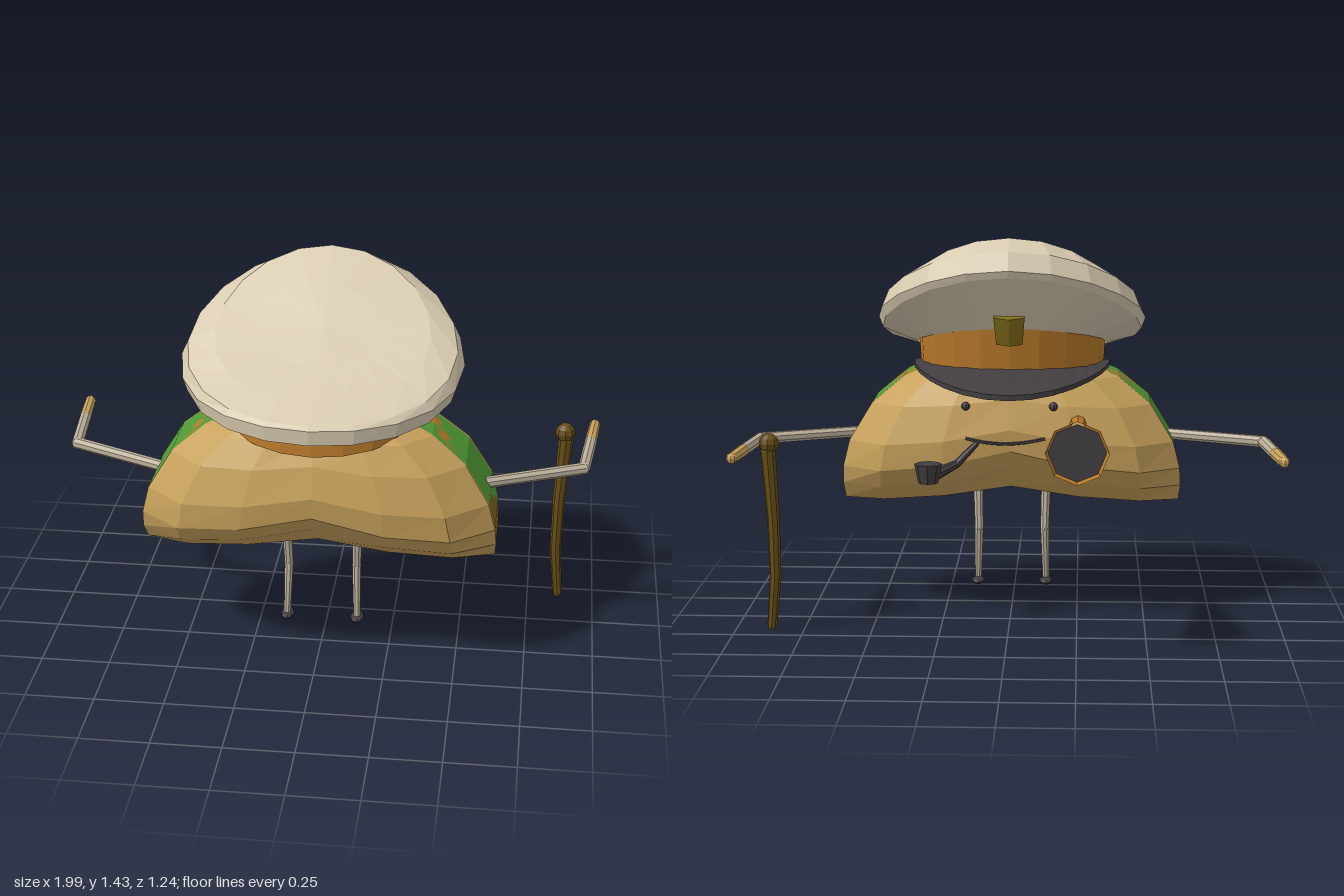
import * as THREE from 'three';

const mat = (name, color) => Object.assign(new THREE.MeshStandardMaterial({ color, flatShading: true, side: THREE.DoubleSide }), { name });
const V = (x, y, z) => new THREE.Vector3(x, y, z);

export function createModel() {
  const M = {
    tan: mat('tan skin', 0xc8a25c), cream: mat('cream cloth', 0xd8cbb0), orange: mat('orange brown', 0xb8782a),
    green: mat('green patch', 0x509a36), brown: mat('brown patch', 0x80621f), dark: mat('dark grey', 0x413d40),
    limb: mat('pale limb', 0xbcb09a), gold: mat('old gold', 0x84701a), wood: mat('dark wood', 0x664e16),
  };
  const model = new THREE.Group();
  const add = (name, geo, m, parent = model) => {
    const mesh = new THREE.Mesh(geo, m);
    mesh.name = name;
    parent.add(mesh);
    return mesh;
  };
  const group = (name) => {
    const g = new THREE.Group();
    g.name = name;
    model.add(g);
    return g;
  };
  const toGeometry = (pts) => {
    const g = new THREE.BufferGeometry().setFromPoints(pts);
    g.computeVertexNormals();
    return g;
  };
  const quad = (out, a, b, c, d) => out.push(a, b, c, a, c, d);

  // Skin between rows of points, with an optional fan to a top point
  const loft = (rows, wrap = true, top = null, skip = () => false) => {
    const out = [], n = rows[0].length;
    for (let i = 0; i < rows.length - 1; i++)
      for (let j = 0; j < (wrap ? n : n - 1); j++) {
        const k = (j + 1) % n;
        if (!skip(j)) quad(out, rows[i][j], rows[i][k], rows[i + 1][k], rows[i + 1][j]);
      }
    if (top) {
      const r = rows[rows.length - 1];
      r.forEach((p, j) => out.push(p, r[(j + 1) % n], top));
    }
    return toGeometry(out);
  };

  // Tapered rod through points, with rounded joints
  const rod = (name, pts, radii, m, parent) => {
    for (let i = 0; i < pts.length - 1; i++) {
      const d = pts[i + 1].clone().sub(pts[i]);
      const c = add(name, new THREE.CylinderGeometry(radii[i + 1], radii[i], d.length(), 8), m, parent);
      c.position.copy(pts[i]).addScaledVector(d, 0.5);
      c.quaternion.setFromUnitVectors(V(0, 1, 0), d.normalize());
    }
    pts.forEach((p, i) => add(name + 'Joint', new THREE.SphereGeometry(radii[i], 8, 6), m, parent).position.copy(p));
  };

  // Bean body: stacked rings, lifted in the middle to make the saddle
  const body = group('body');
  const half = [[0, 1], [0.4, 1], [0.76, 0.87], [1, 0.45], [1, -0.45], [0.76, -0.87], [0.4, -1], [0, -1]];
  const outline = [...half, ...half.slice(1, 7).reverse().map(([x, z]) => [-x, z])];
  const bodyRings = [ // y, half width, half depth, lift
    [0.415, 0.615, 0.002, 0.06], [0.425, 0.63, 0.13, 0.06], [0.49, 0.635, 0.24, 0.09], [0.56, 0.63, 0.3, 0.09],
    [0.66, 0.605, 0.31, 0.07], [0.8, 0.52, 0.28, 0.04], [0.9, 0.4, 0.235, 0.02], [0.98, 0.22, 0.15, 0],
  ].map(([y, rx, rz, lift]) => outline.map(([x, z]) => V(x * rx, y + lift * (1 - Math.abs(x)) ** 2, 0.235 + z * rz)));
  const isEnd = (j) => j === 3 || j === 10;
  add('bodySkin', loft(bodyRings, true, V(0, 1, 0.235), isEnd), M.tan, body);

  // End faces, divided finely and coloured in blotches
  const faces = { tan: [], green: [], brown: [], orange: [] };
  const cols = 20, rowsPer = 10;
  for (const j of [3, 10])
    for (let i = 0; i < bodyRings.length - 1; i++) {
      const at = (s, t) => bodyRings[i][j].clone().lerp(bodyRings[i][j + 1], s)
        .lerp(bodyRings[i + 1][j].clone().lerp(bodyRings[i + 1][j + 1], s), t);
      for (let a = 0; a < cols; a++)
        for (let b = 0; b < rowsPer; b++) {
          const [s0, s1, t0, t1] = [a / cols, (a + 1) / cols, b / rowsPer, (b + 1) / rowsPer];
          const p = at((s0 + s1) / 2, (t0 + t1) / 2), v = (p.z - 0.235) / 0.13;
          const edge = Math.abs(s0 + s1 - 1);
          let key = p.y < 0.63 + 0.07 * v - 0.055 * v * v + 0.015 * Math.sin(9 * v) ? 'brown' : 'green';
          if (Math.abs(p.y - 0.885 + 0.06 * v + 0.012 * Math.sin(12 * v)) < 0.014 && Math.abs(v) < 0.6) key = 'orange';
          if (edge > 0.89) key = 'tan';
          quad(faces[key], at(s0, t0), at(s1, t0), at(s1, t1), at(s0, t1));
        }
    }
  for (const key in faces) add(key + 'EndPatch', toGeometry(faces[key]), M[key], body);

  // Cap: tilted ovals given by their low end, high end, half width and side sag
  const oval = (zf, yf, zb, yb, rx, sag = 0, n = 20) => Array.from({ length: n }, (_, i) => {
    const t = i / n * Math.PI * 2, c = Math.cos(t), s = Math.sin(t);
    return V(rx * s, (yf + yb) / 2 + (yf - yb) / 2 * c - sag * s * s, (zf + zb) / 2 + (zf - zb) / 2 * c);
  });
  const cap = group('cap');
  add('capBand', loft([oval(0.535, 0.885, -0.04, 0.94, 0.345, -0.02), oval(0.53, 0.945, -0.06, 1.11, 0.35)]), M.orange, cap);
  add('capCrown', loft([
    oval(0.53, 0.935, -0.055, 1.095, 0.355),
    oval(0.615, 0.965, -0.2, 1.3, 0.485, 0.06),
    oval(0.62, 1.02, -0.21, 1.325, 0.5, 0.06),
    oval(0.605, 1.03, -0.17, 1.39, 0.475, 0.045),
    oval(0.5, 1.075, -0.09, 1.432, 0.38, 0.045),
    oval(0.35, 1.14, 0.05, 1.34, 0.2, 0.02),
  ], true, V(0, 1.23, 0.2)), M.cream, cap);

  // Visor: crescent that dips at its tip
  const arc = (rx, rz, y, dip) => Array.from({ length: 15 }, (_, i) => {
    const t = Math.PI / 2 + i / 14 * Math.PI;
    return V(rx * Math.sin(t), y - dip * Math.cos(t) ** 2, 0.24 + rz * Math.cos(t));
  });
  add('capVisor', loft([arc(0.31, 0.25, 0.93, 0), arc(0.37, 0.475, 0.935, 0.07),
    arc(0.37, 0.475, 0.95, 0.065), arc(0.31, 0.25, 0.95, -0.01)], false), M.dark, cap);
  const badge = add('capBadge', new THREE.CylinderGeometry(0.065, 0.055, 0.11, 6), M.gold, cap);
  badge.position.set(0, 1.1, -0.07);
  badge.rotation.x = -0.35;
  badge.scale.z = 0.5;

  // Arms, legs and feet
  for (const s of [1, -1]) {
    const side = s > 0 ? 'left' : 'right';
    const arm = group(side + 'Arm'), leg = group(side + 'Leg');
    rod('armRod', [V(s * 0.57, 0.67, 0.225), V(s * 0.935, 0.67, 0.06), V(s * 0.96, 0.67, -0.18)], [0.021, 0.022, 0.022], M.limb, arm);
    rod('hand', [V(s * 0.96, 0.67, -0.18), V(s * 0.975, 0.67, -0.33)], [0.0225, 0.02], M.tan, arm);
    rod('legRod', [V(s * 0.13, 0.48, 0.225), V(s * 0.125, 0.3, 0.203), V(s * 0.13, 0.1, 0.23)], [0.019, 0.017, 0.013], M.limb, leg);
    const foot = add('foot', new THREE.SphereGeometry(1, 8, 6), M.dark, leg);
    foot.scale.set(0.026, 0.014, 0.043);
    foot.position.set(s * 0.13, 0.092, 0.22);

    // Eyes
    const eye = add(side + 'Eye', new THREE.SphereGeometry(0.016, 8, 6), M.dark);
    eye.position.set(s * 0.16, 0.815, -0.052);
  }

  // Mouth and smoking pipe
  const smile = new THREE.QuadraticBezierCurve3(V(0.16, 0.7, -0.075), V(0.02, 0.66, -0.08), V(-0.13, 0.7, -0.075));
  add('mouth', new THREE.TubeGeometry(smile, 8, 0.006, 5), M.dark);
  const pipe = group('pipe');
  rod('pipeStem', [V(0.12, 0.68, -0.07), V(0.19, 0.61, -0.1), V(0.28, 0.575, -0.16)], [0.01, 0.015, 0.025], M.dark, pipe);
  add('pipeBowl', new THREE.CylinderGeometry(0.05, 0.036, 0.07, 8), M.dark, pipe).position.set(0.29, 0.588, -0.17);

  // Horn with a dark mouth
  const horn = group('horn');
  horn.position.set(-0.25, 0.75, 0);
  horn.rotation.x = -Math.PI / 2;
  const profile = [[0.032, 0.03], [0.032, 0.1], [0.027, 0.14], [0.11, 0.615]].map(([r, y]) => new THREE.Vector2(r, y));
  add('hornCone', new THREE.LatheGeometry(profile, 8), M.orange, horn);
  const opening = add('hornOpening', new THREE.CircleGeometry(0.1, 8), M.dark, horn);
  opening.rotation.x = -Math.PI / 2;
  opening.position.y = 0.605;

  // Walking stick
  const stick = group('walkingStick');
  rod('stickShaft', [V(0.866, 0.018, -0.185), V(0.85, 0.2, -0.185), V(0.853, 0.42, -0.185), V(0.868, 0.67, -0.185)],
    [0.018, 0.021, 0.023, 0.028], M.wood, stick);
  const knob = add('stickKnob', new THREE.SphereGeometry(0.037, 8, 6), M.wood, stick);
  knob.position.set(0.864, 0.698, -0.185);
  return model;
}
